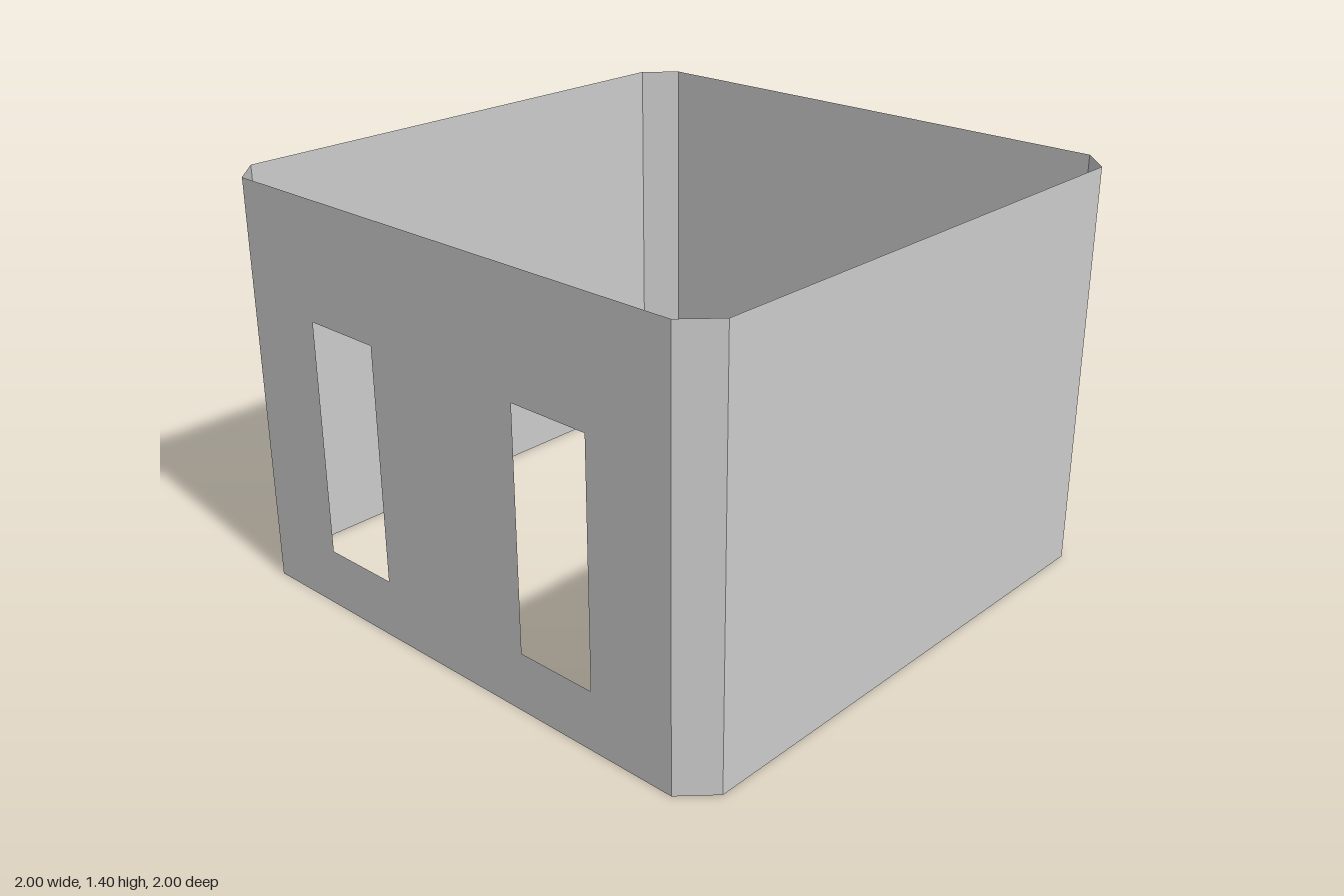
import * as THREE from 'three';

const HEIGHT = 1.4, HALF = 1, CHAMFER = 0.1;
const FLAT = HALF - CHAMFER; // half width of each straight wall

export function createModel() {
  const model = new THREE.Group();
  model.name = 'roomShell';
  const material = new THREE.MeshStandardMaterial({
    color: 0xcccccc, flatShading: true, side: THREE.DoubleSide,
  });

  // Upright rectangle from x0 to x1 and y0 to y1
  const rectangle = (Type, x0, x1, y0, y1) => new Type([
    new THREE.Vector2(x0, y0), new THREE.Vector2(x1, y0),
    new THREE.Vector2(x1, y1), new THREE.Vector2(x0, y1),
  ]);

  // Thin panel facing outwards, turned about y and set at a distance from the centre
  function addPanel(name, halfWidth, distance, angle, holes = []) {
    const shape = rectangle(THREE.Shape, -halfWidth, halfWidth, 0, HEIGHT);
    shape.holes.push(...holes);
    const geometry = new THREE.ShapeGeometry(shape);
    geometry.translate(0, 0, distance).rotateY(angle);
    const mesh = new THREE.Mesh(geometry, material);
    mesh.name = name;
    model.add(mesh);
  }

  // Two tall window openings in the front wall
  const windows = [-0.45, 0.45].map((x) =>
    rectangle(THREE.Path, x - 0.143, x + 0.143, 0.2, 1.0));

  // Four walls and the chamfered corner panels between them
  const walls = ['frontWall', 'leftWall', 'backWall', 'rightWall'];
  const corners = ['frontLeftCorner', 'backLeftCorner', 'backRightCorner', 'frontRightCorner'];
  for (let i = 0; i < 4; i++) {
    const angle = i * Math.PI / 2;
    addPanel(walls[i], FLAT, HALF, angle, i === 0 ? windows : []);
    addPanel(corners[i], CHAMFER * Math.SQRT1_2, (HALF + FLAT) * Math.SQRT1_2, angle + Math.PI / 4);
  }
  return model;
}
